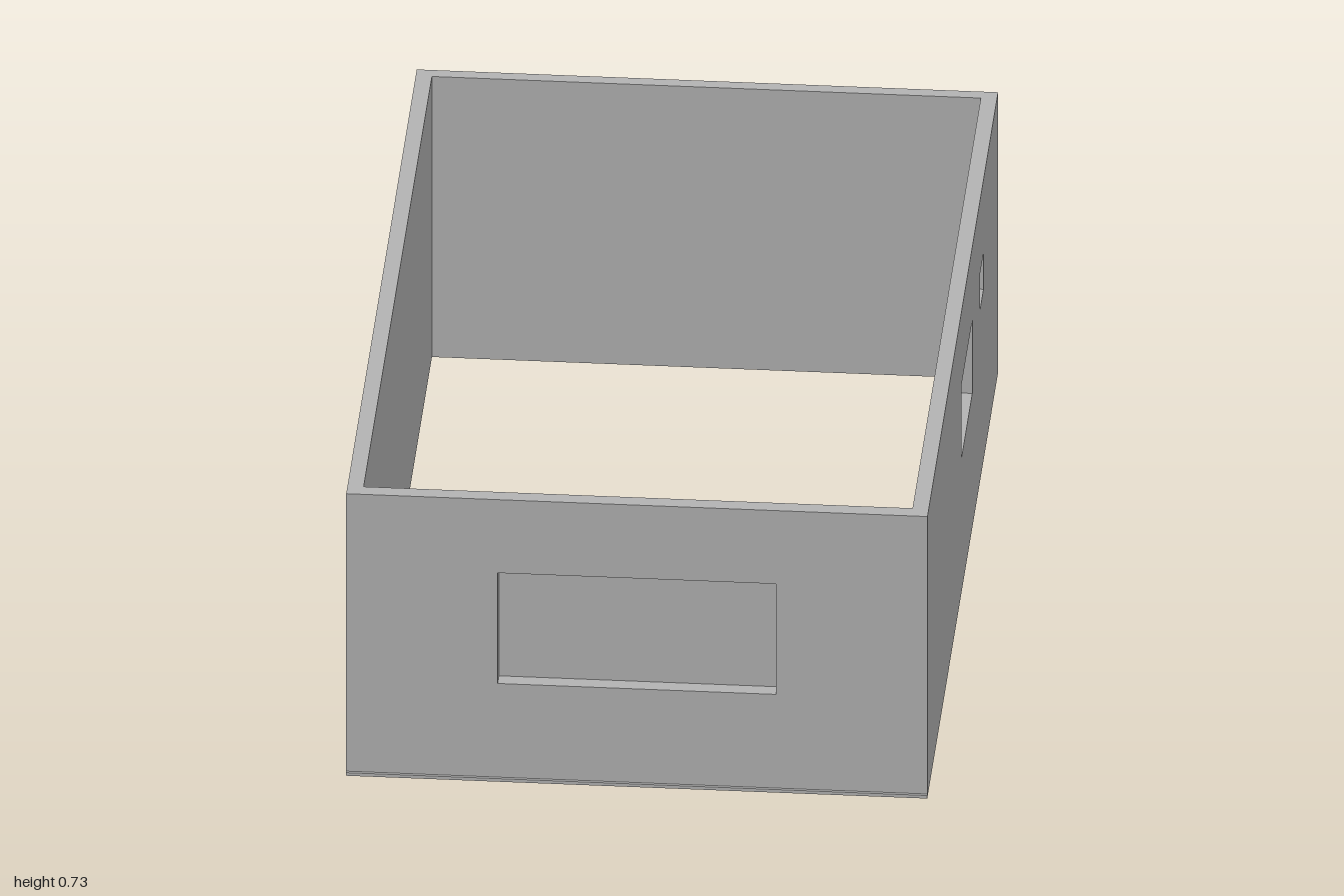
import * as THREE from 'three';

const HEIGHT = 0.731, HALF_W = 0.664, FRONT = 0.993, BACK = -1;
const T_SIDE = 0.037, T_FRONT = 0.036, T_BACK = 0.03;

const grey = new THREE.MeshStandardMaterial({ color: 0xb2b2b2 });
grey.name = 'grey';

// A wall in its own frame: u along its length, y up, z outward, inner face at z = 0.
// Its ends are mitred by the thickness of the neighbouring walls.
function makeWall(name, u0, u1, thickness, inset0, inset1, windows = []) {
  const wall = new THREE.Group();
  wall.name = name;
  const shape = new THREE.Shape([[u0, 0], [u1, 0], [u1, HEIGHT], [u0, HEIGHT]].map(p => new THREE.Vector2(...p)));
  for (const [a, b, c, d] of windows) {
    shape.holes.push(new THREE.Path([[a, c], [a, d], [b, d], [b, c]].map(p => new THREE.Vector2(...p))));
  }
  const geometry = new THREE.ExtrudeGeometry(shape, { depth: thickness, bevelEnabled: false });
  const pos = geometry.attributes.position;
  for (let i = 0; i < pos.count; i++) {
    if (pos.getZ(i) > thickness / 2) continue;
    if (Math.abs(pos.getX(i) - u0) < 1e-4) pos.setX(i, u0 + inset0);
    else if (Math.abs(pos.getX(i) - u1) < 1e-4) pos.setX(i, u1 - inset1);
  }
  geometry.computeVertexNormals();
  const body = new THREE.Mesh(geometry, grey);
  body.name = name + 'Body';
  wall.add(body);

  // Thin panel closing each recess from the inside, slightly larger than the opening
  const margin = 0.008, panelDepth = 0.006;
  windows.forEach(([a, b, c, d], i) => {
    const panel = new THREE.Mesh(
      new THREE.BoxGeometry(b - a + 2 * margin, d - c + 2 * margin, panelDepth), grey);
    panel.position.set((a + b) / 2, (c + d) / 2, -panelDepth / 2);
    panel.name = `${name}RecessPanel${i + 1}`;
    wall.add(panel);
  });
  return wall;
}

export function createModel() {
  const model = new THREE.Group();
  model.name = 'openBoxFrame';

  // Front wall with one wide recess
  const front = makeWall('frontWall', -HALF_W, HALF_W, T_FRONT, T_SIDE, T_SIDE, [[-0.318, 0.318, 0.252, 0.54]]);
  front.position.z = FRONT - T_FRONT;

  // Plain back wall
  const back = makeWall('backWall', -HALF_W, HALF_W, T_BACK, T_SIDE, T_SIDE);
  back.rotation.y = Math.PI;
  back.position.z = BACK + T_BACK;

  // Left wall (+x) with two recesses; u runs towards the back
  const left = makeWall('leftWall', -FRONT, -BACK, T_SIDE, T_FRONT, T_BACK,
    [[-0.027, 0.274, 0.349, 0.541], [0.488, 0.59, 0.445, 0.541]]);
  left.rotation.y = Math.PI / 2;
  left.position.x = HALF_W - T_SIDE;

  // Plain right wall (-x); u runs towards the front
  const right = makeWall('rightWall', BACK, FRONT, T_SIDE, T_BACK, T_FRONT);
  right.rotation.y = -Math.PI / 2;
  right.position.x = -HALF_W + T_SIDE;

  // Narrow lip along the foot of the front wall
  const lip = new THREE.Mesh(new THREE.BoxGeometry(2 * HALF_W, 0.008, 1 - FRONT), grey);
  lip.name = 'frontLip';
  lip.position.set(0, 0.004, (1 + FRONT) / 2);

  model.add(front, back, left, right, lip);
  return model;
}
